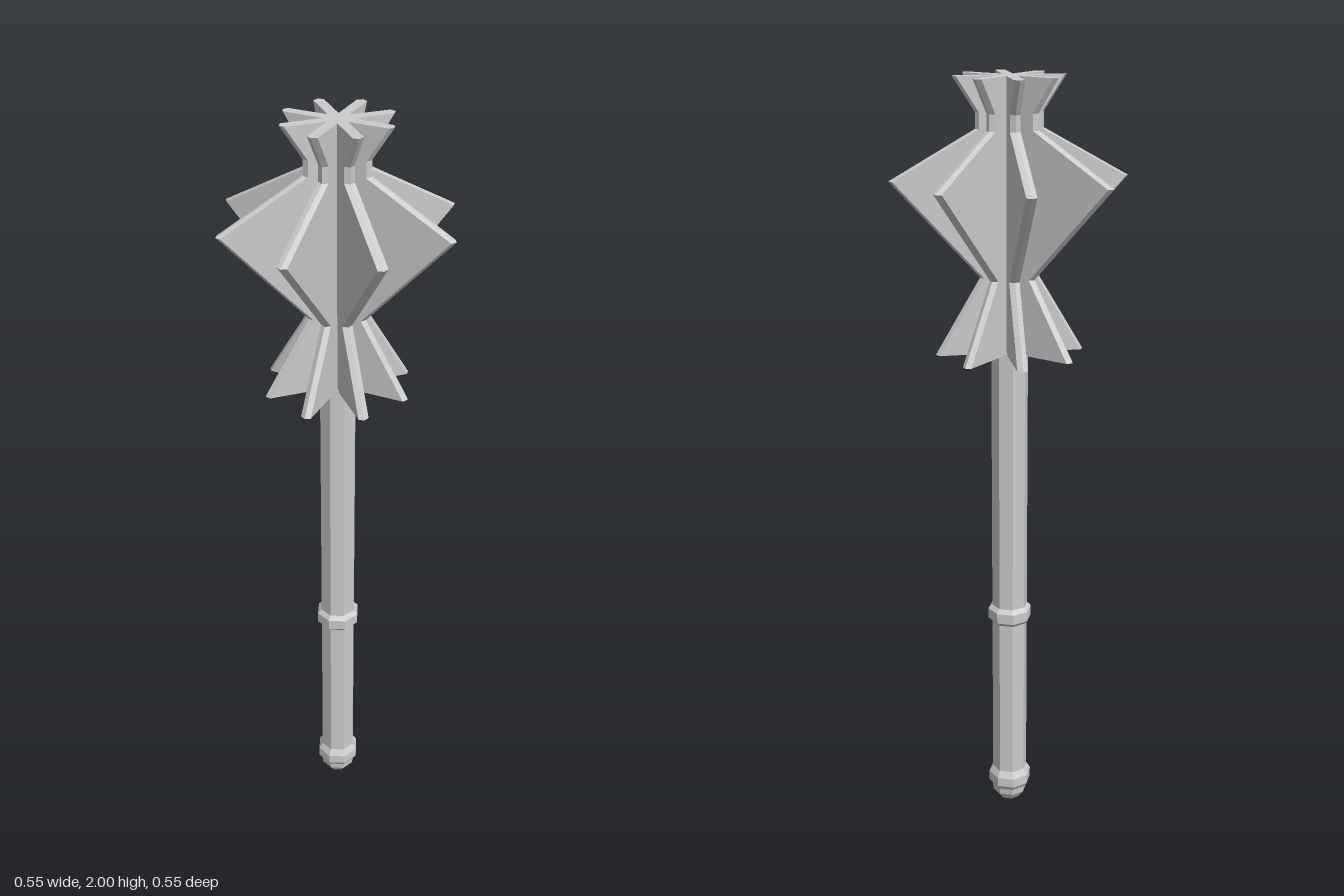
import * as THREE from 'three';

const material = new THREE.MeshStandardMaterial({ color: 0xcccccc, flatShading: true });
const SIDES = 8;

// Faceted turned part, flats facing the axes; radii are measured to the flats
function turned(name, profile) {
  const k = 1 / Math.cos(Math.PI / SIDES);
  const points = profile.map(([r, y]) => new THREE.Vector2(r * k, y));
  const mesh = new THREE.Mesh(new THREE.LatheGeometry(points, SIDES, Math.PI / SIDES), material);
  mesh.name = name;
  return mesh;
}

// Flange: horizontal cross-sections with a ridged outer edge, lofted upwards
function flangeGeometry(outline, halfWidth, bevel) {
  const sections = outline.map(([r, y]) => [
    [0, y, halfWidth], [r - bevel, y, halfWidth], [r, y, 0],
    [r - bevel, y, -halfWidth], [0, y, -halfWidth],
  ]);
  const n = sections[0].length;
  const positions = sections.flat(2);
  const index = [];
  for (let s = 0; s < sections.length - 1; s++) {
    for (let i = 0; i < n; i++) {
      const a = s * n + i, b = s * n + (i + 1) % n;
      index.push(a, b, b + n, a, b + n, a + n);
    }
  }
  // End caps
  const top = (sections.length - 1) * n;
  for (let i = 1; i < n - 1; i++) {
    index.push(0, i + 1, i);
    index.push(top, top + i, top + i + 1);
  }
  const geometry = new THREE.BufferGeometry();
  geometry.setAttribute('position', new THREE.Float32BufferAttribute(positions, 3));
  geometry.setIndex(index);
  const flat = geometry.toNonIndexed();
  flat.computeVertexNormals();
  return flat;
}

export function createModel() {
  const model = new THREE.Group();
  model.name = 'flangedMace';

  // Shaft, grip ring and pommel
  model.add(turned('shaft', [[0, 0.03], [0.044, 0.03], [0.044, 1.32], [0, 1.32]]));
  model.add(turned('gripRing', [[0.043, 0.553], [0.054, 0.565], [0.054, 0.593], [0.043, 0.605]]));
  model.add(turned('pommel', [
    [0, 0], [0.028, 0], [0.043, 0.022], [0.045, 0.04],
    [0.054, 0.054], [0.054, 0.08], [0.043, 0.1],
  ]));

  // Head: eight flanges, offset half a step from the axes
  const head = new THREE.Group();
  head.name = 'head';
  const geometry = flangeGeometry([
    [0.19, 1.315], [0.075, 1.51], [0.298, 1.755],
    [0.085, 1.875], [0.085, 1.915], [0.14, 2],
  ], 0.013, 0.008);
  for (let i = 0; i < 8; i++) {
    const flange = new THREE.Mesh(geometry, material);
    flange.name = `flange${i + 1}`;
    flange.rotation.y = (i + 0.5) * Math.PI / 4;
    head.add(flange);
  }
  model.add(head);
  return model;
}
